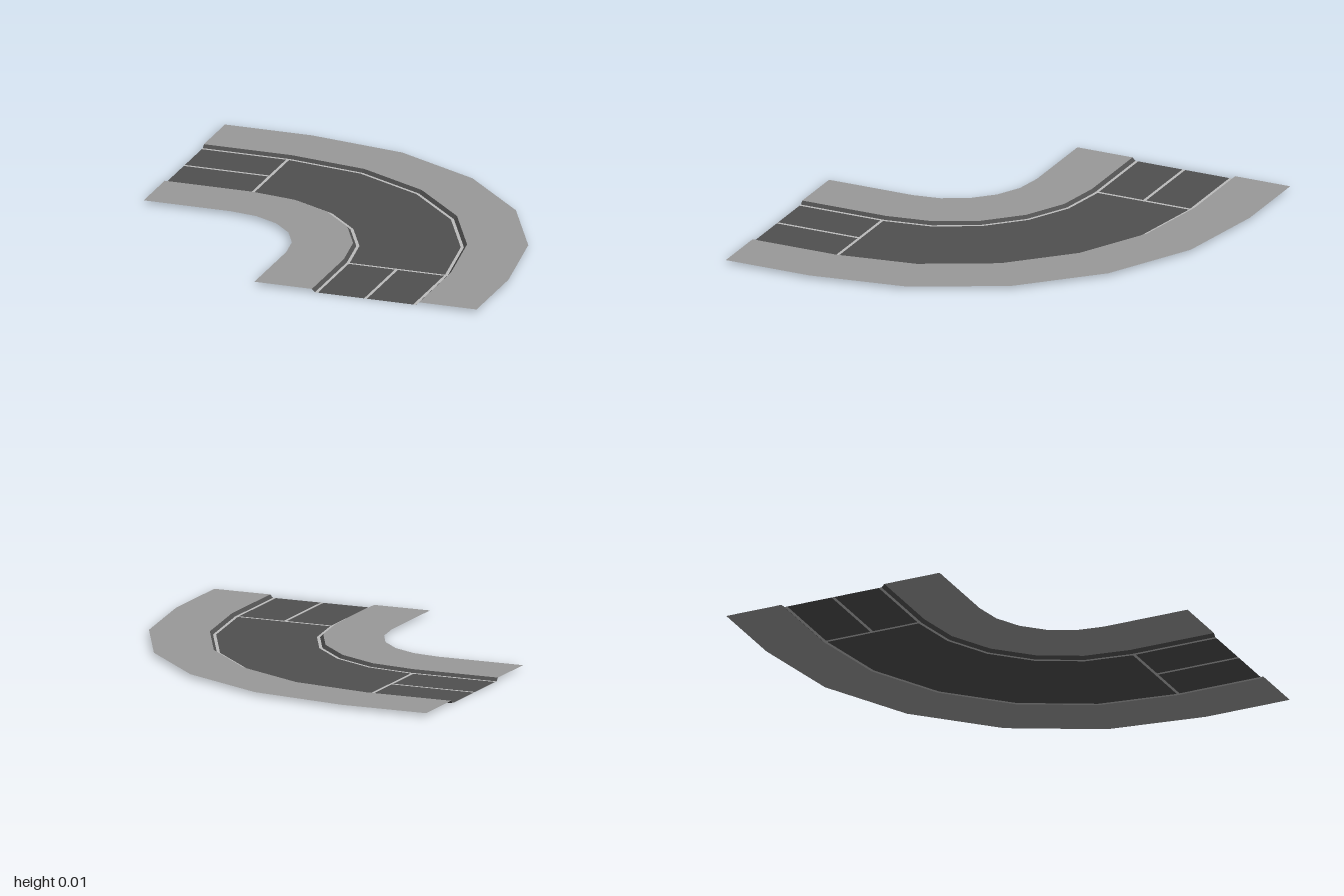
import * as THREE from 'three';

const BEND = 0.56;        // bend centre is (-BEND, BEND) in x, z
const CROSS = 0.575;      // far edge of the stop lines
const STEPS = 5;          // facets in the quarter turn
const TOP = 0.015;        // pavement height above the road
const LINE = 0.015;       // width of painted lines

const material = (color) => new THREE.MeshStandardMaterial({
  color, roughness: 0.9, flatShading: true, side: THREE.DoubleSide,
});

// A station is a cross-section line across the road: origin plus direction.
const station = (x, z, angle) => ({ x, z, angle });
const firstArm = (x) => station(x, BEND, 0);
const secondArm = (z) => station(-BEND, z, Math.PI / 2);
const bend = Array.from({ length: STEPS + 1 }, (_, i) =>
  station(-BEND, BEND, (i / STEPS) * Math.PI / 2));
const fullPath = [firstArm(-1), ...bend, secondArm(1)];

// Ribbon along the stations between two [radius, height] edges.
function ribbon(name, stations, inner, outer, mat) {
  const positions = [];
  const index = [];
  stations.forEach(({ x, z, angle }, i) => {
    for (const [r, y] of [inner, outer]) {
      positions.push(x + r * Math.sin(angle), y, z - r * Math.cos(angle));
    }
    if (i > 0) {
      const a = 2 * (i - 1);
      index.push(a, a + 2, a + 3, a, a + 3, a + 1);
    }
  });
  const geometry = new THREE.BufferGeometry();
  geometry.setAttribute('position', new THREE.Float32BufferAttribute(positions, 3));
  geometry.setIndex(index);
  geometry.computeVertexNormals();
  const mesh = new THREE.Mesh(geometry, mat);
  mesh.name = name;
  return mesh;
}

export function createModel() {
  const model = new THREE.Group();
  model.name = 'curvedRoad';
  const pavement = material(0x999999);
  const asphalt = material(0x505050);
  const paint = material(0xbbbbbb);
  const add = (name, stations, inner, outer, mat) =>
    model.add(ribbon(name, stations, inner, outer, mat));

  // Pavements, sloping kerbs and edge lines follow the whole road
  add('innerPavement', fullPath, [0.44, TOP], [0.73, TOP], pavement);
  add('innerKerb', fullPath, [0.73, TOP], [0.745, 0], asphalt);
  add('innerEdgeLine', fullPath, [0.745, 0], [0.745 + LINE, 0], paint);
  add('outerEdgeLine', fullPath, [1.255 - LINE, 0], [1.255, 0], paint);
  add('outerKerb', fullPath, [1.255, 0], [1.27, TOP], asphalt);
  add('outerPavement', fullPath, [1.27, TOP], [1.56, TOP], pavement);

  // Unmarked surface of the bend
  const laneIn = [0.745 + LINE, 0];
  const laneOut = [1.255 - LINE, 0];
  add('bendSurface', bend, laneIn, laneOut, asphalt);

  // Two straight ends, each with a stop line, centre line and two lanes
  const arms = {
    first: [[firstArm(-1), firstArm(-CROSS)], [firstArm(-CROSS), firstArm(-BEND)]],
    second: [[secondArm(CROSS), secondArm(1)], [secondArm(BEND), secondArm(CROSS)]],
  };
  const midIn = [1 - LINE / 2, 0];
  const midOut = [1 + LINE / 2, 0];
  for (const [name, [straight, stop]] of Object.entries(arms)) {
    add(`${name}InnerLane`, straight, laneIn, midIn, asphalt);
    add(`${name}CentreLine`, straight, midIn, midOut, paint);
    add(`${name}OuterLane`, straight, midOut, laneOut, asphalt);
    add(`${name}StopLine`, stop, laneIn, laneOut, paint);
  }
  return model;
}
